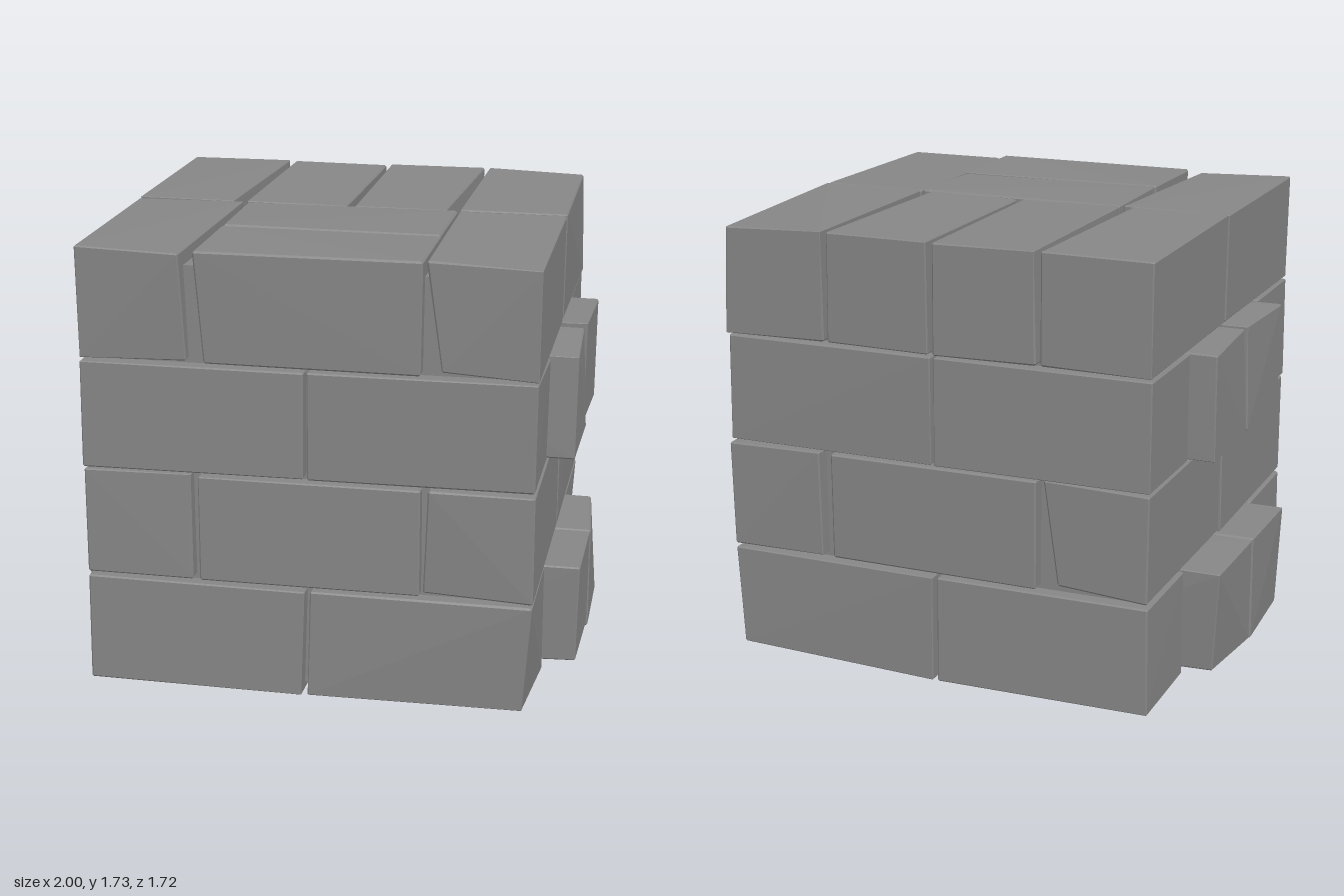
import * as THREE from 'three';
import { ConvexGeometry } from 'three/addons/geometries/ConvexGeometry.js';

const material = new THREE.MeshStandardMaterial({ color: 0x868686, flatShading: true });

// Small seeded generator for the worn edges
let seed = 7;
function rand() {
  seed = (seed * 16807) % 2147483647;
  return seed / 2147483647;
}

// A worn brick: every corner is chamfered, and chosen corners are pushed inward.
// x, y, z are [min, max]; worn maps corner signs such as '+-+' to an inward push.
function brick(name, x, y, z, worn = {}) {
  const ranges = [x, y, z];
  const points = [];
  for (const sx of '-+') for (const sy of '-+') for (const sz of '-+') {
    const signs = [sx, sy, sz];
    const push = worn[signs.join('')] ?? [0, 0, 0];
    const corner = signs.map((s, i) => {
      const inward = push[i] + rand() * 0.007;
      return s === '+' ? ranges[i][1] - inward : ranges[i][0] + inward;
    });
    const inset = 0.002 + rand() * 0.006;
    for (let face = 0; face < 3; face++) {
      points.push(new THREE.Vector3(...corner.map((c, i) =>
        i === face ? c : c + (signs[i] === '+' ? -inset : inset))));
    }
  }
  const mesh = new THREE.Mesh(new ConvexGeometry(points), material);
  mesh.name = name;
  return mesh;
}

const columns = [[-0.86, -0.43], [-0.42, -0.005], [0.01, 0.43], [0.44, 0.865]];
const rows = [[-0.86, -0.435], [-0.425, -0.003], [0.003, 0.425], [0.435, 0.86]];
const halves = [[-0.865, -0.003], [0.003, 0.86]];
const middle = [-0.415, 0.435];

// Course of bricks lying along x, whose two inner rows stick out at the sides
function stretcherCourse(name, y, reach, worn) {
  const course = new THREE.Group();
  course.name = name;
  rows.forEach((z, r) => {
    const inner = r === 1 || r === 2;
    const [rightWorn, leftWorn] = worn[r];
    const near = inner ? reach - 0.845 : 0.003;
    const far = inner ? reach : 0.86;
    course.add(brick('stretcherBrick', [-far, -near], y, z, rightWorn));
    course.add(brick('stretcherBrick', [near, far], y, z, leftWorn));
  });
  return course;
}

export function createModel() {
  seed = 7;
  const model = new THREE.Group();
  model.name = 'brickStack';

  // Mortar core closing the joints
  const core = new THREE.Mesh(new THREE.BoxGeometry(1.6, 1.63, 1.6), material);
  core.name = 'mortarCore';
  core.position.y = 0.845;
  model.add(core);

  // Bottom course
  model.add(stretcherCourse('bottomCourse', [0, 0.43], 1.0, [
    [{}, { '+-+': [0, 0.03, 0.01], '+--': [0.02, 0.03, 0] }],
    [{ '---': [0.03, 0.01, 0.03] }, { '++-': [0.03, 0, 0.01] }],
    [{ '--+': [0.02, 0, 0] }, { '+-+': [0.01, 0.03, 0.01], '+--': [0, 0.02, 0] }],
    [{ '+-+': [0.015, 0, 0] }, { '+-+': [0.03, 0, 0.01], '-++': [0.01, 0, 0] }],
  ]));

  // Second course: sides along z, centre filled with bricks along x
  const second = new THREE.Group();
  second.name = 'secondCourse';
  const y2 = [0.44, 0.865];
  const sideWear = [
    { '+--': [0.06, 0.015, 0.015], '++-': [0, 0, 0.035] },
    { '+++': [0.01, 0, 0.01] },
    { '-+-': [0.035, 0, 0], '---': [0.03, 0, 0.01] },
    { '--+': [0, 0.01, 0.015], '-++': [0.015, 0, 0] },
  ];
  [columns[0], columns[3]].forEach((x, c) => halves.forEach((z, h) =>
    second.add(brick('sideBrick', x, y2, z, sideWear[c * 2 + h]))));
  rows.forEach((z) => second.add(brick('centreBrick', middle, y2, z)));
  model.add(second);

  // Third course
  model.add(stretcherCourse('thirdCourse', [0.87, 1.295], 0.965, [
    [{}, { '+-+': [0, 0.015, 0.03] }],
    [{ '-++': [0.02, 0, 0.02] }, { '+-+': [0.01, 0, 0.01] }],
    [{ '-+-': [0.02, 0, 0.01] }, { '++-': [0.01, 0, 0.035], '+++': [0, 0.015, 0.01] }],
    [{}, { '++-': [0, 0.01, 0.01] }],
  ]));

  // Top course: four bricks along z behind, a framed pair along x in front
  const top = new THREE.Group();
  top.name = 'topCourse';
  const y4 = [1.3, 1.73];
  const backWear = [
    { '+++': [0.04, 0, 0] },
    { '-+-': [0.01, 0, 0] },
    { '+++': [0.04, 0, 0], '++-': [0.005, 0, 0] },
    { '++-': [0.01, 0.01, 0] },
  ];
  columns.forEach((x, c) => top.add(brick('backBrick', x, y4, halves[0], backWear[c])));
  top.add(brick('frontRightBrick', columns[0], y4, halves[1],
    { '+++': [0.035, 0.01, 0], '+-+': [0.02, 0, 0.015] }));
  top.add(brick('frontLeftBrick', columns[3], y4, halves[1],
    { '--+': [0.06, 0.015, 0.015], '-++': [0, 0, 0.035], '+++': [0, 0.015, 0] }));
  top.add(brick('innerBrick', middle, y4, rows[2]));
  top.add(brick('outerBrick', middle, y4, rows[3], { '--+': [0.03, 0, 0] }));
  model.add(top);

  return model;
}
